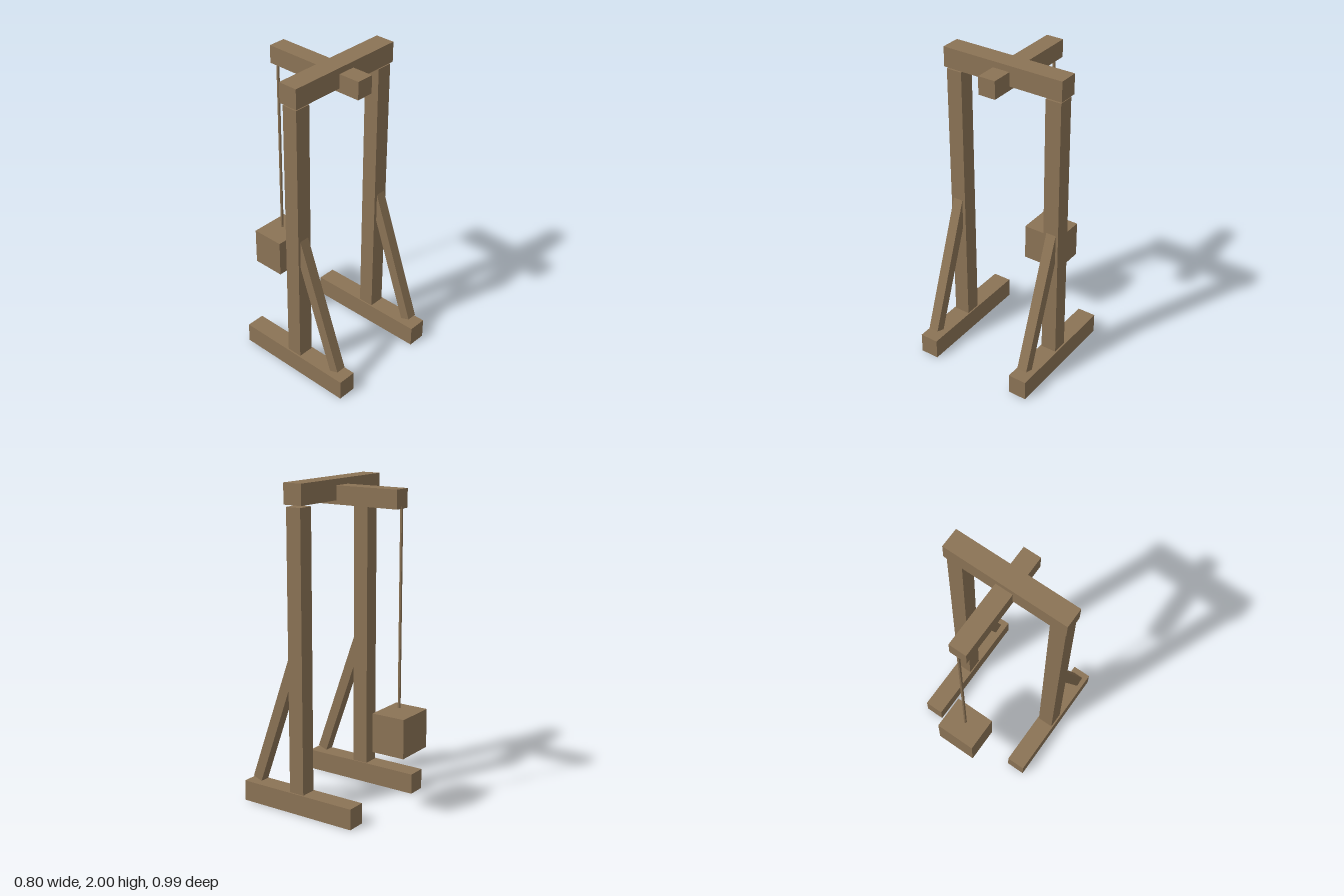
import * as THREE from 'three';

export function createModel() {
  const model = new THREE.Group();
  const wood = new THREE.MeshStandardMaterial({ color: 0x8b7355 });
  wood.name = 'brown wood';

  const add = (name, geometry, x, y, z) => {
    const mesh = new THREE.Mesh(geometry, wood);
    mesh.name = name;
    mesh.position.set(x, y, z);
    model.add(mesh);
    return mesh;
  };

  // Box given by its extents on each axis
  const beam = (name, [x0, x1], [y0, y1], [z0, z1]) =>
    add(name, new THREE.BoxGeometry(x1 - x0, y1 - y0, z1 - z0),
      (x0 + x1) / 2, (y0 + y1) / 2, (z0 + z1) / 2);

  // Side frames: foot, post and leaning brace
  for (const [side, s] of [['left', 1], ['right', -1]]) {
    const span = (a, b) => (s > 0 ? [a, b] : [-b, -a]);
    beam(side + 'Foot', span(0.28, 0.4), [0, 0.13], [-0.305, 0.495]);
    beam(side + 'Post', span(0.288, 0.39), [0.13, 1.862], [0.047, 0.148]);
    const brace = add(side + 'Brace', new THREE.BoxGeometry(0.065, 0.9, 0.065), s * 0.341, 0.578, 0.263);
    brace.rotation.x = -0.345;
  }

  // Crossbeam and the arm that carries the load
  beam('crossbeam', [-0.4, 0.4], [1.875, 2], [0.033, 0.158]);
  beam('arm', [-0.056, 0.056], [1.85, 1.962], [-0.385, 0.295]);

  // Rope and hanging weight
  const rope = new THREE.CylinderGeometry(0.009, 0.009, 1.2, 8).toNonIndexed();
  rope.computeVertexNormals();
  add('rope', rope, 0, 1.263, -0.381);
  beam('weight', [-0.13, 0.13], [0.4, 0.642], [-0.495, -0.277]);

  return model;
}
